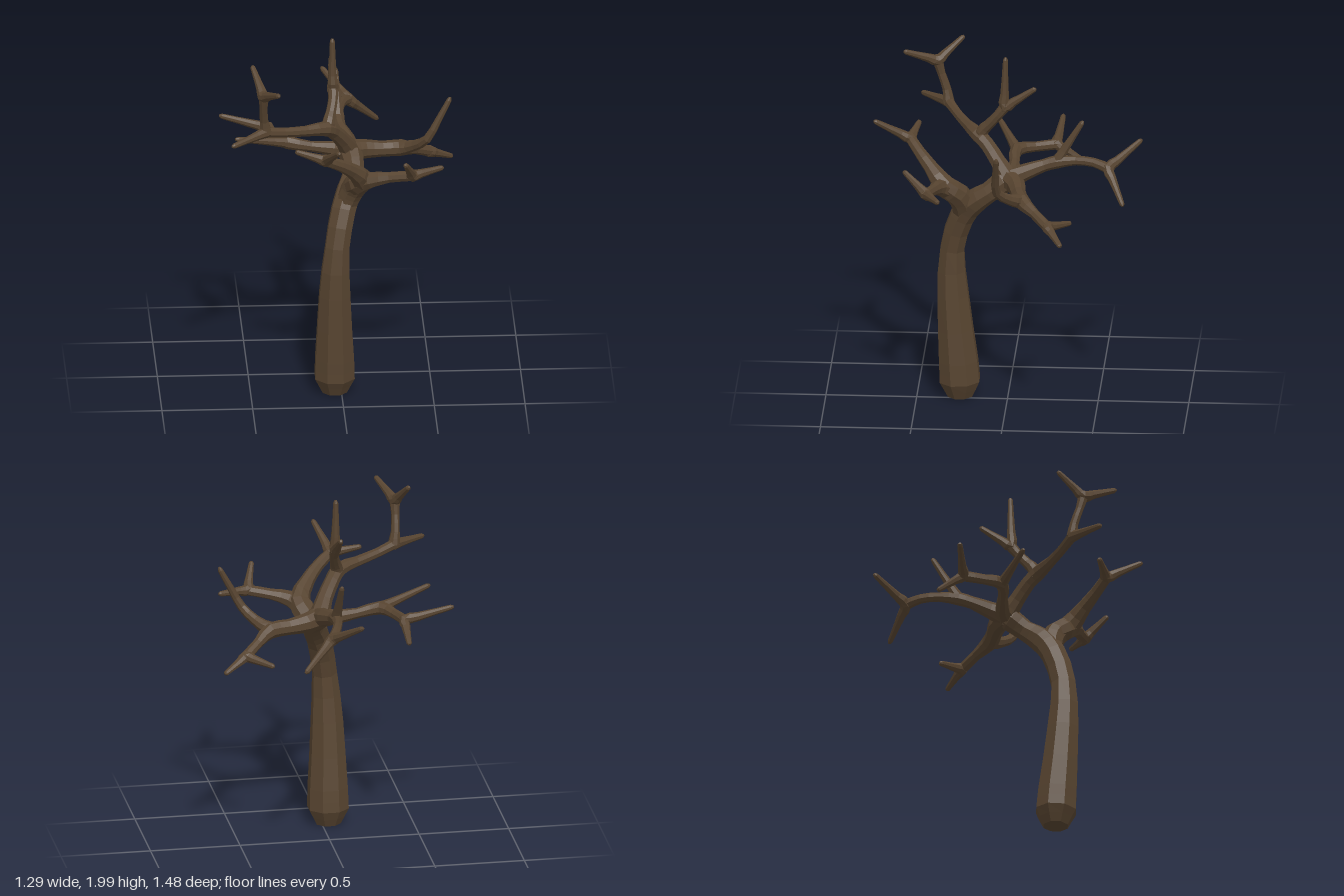
import * as THREE from 'three';

const bark = new THREE.MeshStandardMaterial({ color: 0x574430, flatShading: true });
bark.name = 'dark brown bark';

// Tapered, faceted limb through points [x, y, z, radius], capped at both ends
function limb(name, points, sides = 8, steps = 2) {
  const curve = new THREE.CatmullRomCurve3(points.map(p => new THREE.Vector3(p[0], p[1], p[2])));
  const spans = points.length - 1, rows = spans * steps;
  const pos = [], index = [];
  const normal = new THREE.Vector3(0, 0, 1), binormal = new THREE.Vector3();
  if (Math.abs(curve.getTangent(0).z) > 0.8) normal.set(0, 1, 0);

  for (let i = 0; i <= rows; i++) {
    const t = i / rows, tangent = curve.getTangent(t), center = curve.getPoint(t);
    normal.addScaledVector(tangent, -normal.dot(tangent)).normalize();
    binormal.crossVectors(tangent, normal);
    const k = Math.min(Math.floor(t * spans), spans - 1);
    const radius = THREE.MathUtils.lerp(points[k][3], points[k + 1][3], t * spans - k);
    for (let j = 0; j < sides; j++) {
      const a = (j + 0.5) / sides * Math.PI * 2;
      const p = center.clone()
        .addScaledVector(normal, Math.cos(a) * radius)
        .addScaledVector(binormal, Math.sin(a) * radius);
      pos.push(p.x, p.y, p.z);
    }
  }

  for (let i = 0; i < rows; i++) {
    for (let j = 0; j < sides; j++) {
      const a = i * sides + j, b = i * sides + (j + 1) % sides;
      index.push(a, b, a + sides, b, b + sides, a + sides);
    }
  }
  const last = rows * sides;
  for (let j = 1; j < sides - 1; j++) {
    index.push(0, j + 1, j, last, last + j, last + j + 1);
  }

  let geometry = new THREE.BufferGeometry();
  geometry.setAttribute('position', new THREE.Float32BufferAttribute(pos, 3));
  geometry.setIndex(index);
  geometry = geometry.toNonIndexed();
  geometry.computeVertexNormals();
  const mesh = new THREE.Mesh(geometry, bark);
  mesh.name = name;
  return mesh;
}

// Points of a straight twig, from just outside the fork to its rounded tip
function twigPoints(from, to) {
  const at = (f, r) => [0, 1, 2].map(i => from[i] + (to[i] - from[i]) * f).concat(r);
  return [at(0.28, 0.025), at(0.62, 0.019), at(0.96, 0.0145), at(1.015, 0.007)];
}

export function createModel() {
  const tree = new THREE.Group();
  tree.name = 'bareTree';

  // Forks where limbs divide
  const crown = [0.06, 1.325, -0.01];
  const front = [0.11, 1.295, 0.34];
  const frontLeft = [0.385, 1.345, 0.425];
  const frontRight = [-0.10, 1.49, 0.54];
  const left = [0.35, 1.30, -0.10];
  const leftLow = [0.51, 1.215, -0.25];
  const back = [0.01, 1.41, -0.27];
  const backEnd = [0.08, 1.405, -0.56];
  const right = [-0.28, 1.37, -0.035];
  const rightEnd = [-0.375, 1.37, -0.25];
  const upper = [-0.08, 1.53, 0.17];
  const upperRight = [-0.42, 1.59, 0.35];
  const upperTip = [-0.435, 1.825, 0.41];
  const topFork = [-0.035, 1.705, 0.02];

  // Trunk bending back into the crown
  tree.add(limb('trunk', [
    [-0.037, 0.01, 0.262, 0.072], [-0.037, 0.10, 0.264, 0.118], [-0.037, 0.22, 0.272, 0.114],
    [-0.038, 0.60, 0.302, 0.092], [-0.025, 0.88, 0.305, 0.071], [0.012, 1.08, 0.25, 0.071],
    [0.05, 1.18, 0.185, 0.071], [0.077, 1.25, 0.095, 0.058], [0.065, 1.31, 0.015, 0.066], [0.05, 1.345, -0.045, 0.04],
  ]));

  // Main boughs
  const boughs = {
    frontBough: [[0.012, 1.05, 0.252, 0.05], [0.045, 1.16, 0.24, 0.066], [0.08, 1.235, 0.27, 0.068], [...front, 0.062],
      [0.05, 1.38, 0.42, 0.041], [-0.02, 1.44, 0.485, 0.033], [...frontRight, 0.03]],
    frontLeftBough: [[0.05, 1.2, 0.235, 0.05], [0.09, 1.26, 0.31, 0.064], [0.155, 1.30, 0.365, 0.047],
      [0.26, 1.325, 0.392, 0.031], [...frontLeft, 0.03]],
    leftBough: [[...crown, 0.06], [0.14, 1.315, -0.055, 0.054], [0.24, 1.305, -0.075, 0.044], [...left, 0.046],
      [0.43, 1.26, -0.175, 0.029], [...leftLow, 0.03]],
    leftUpturnedBranch: [[0.28, 1.30, -0.085, 0.036], [0.35, 1.305, -0.085, 0.042], [0.42, 1.34, -0.03, 0.03],
      [0.485, 1.40, 0.03, 0.025], [0.55, 1.52, 0.033, 0.019], [0.605, 1.625, 0.025, 0.0145], [0.612, 1.643, 0.025, 0.007]],
    backBough: [[...crown, 0.06], [0.045, 1.36, -0.10, 0.047], [0.015, 1.39, -0.20, 0.035], [...back, 0.037],
      [0.02, 1.425, -0.38, 0.026], [0.045, 1.425, -0.48, 0.026], [...backEnd, 0.03]],
    rightBough: [[...crown, 0.06], [-0.02, 1.33, -0.03, 0.042], [-0.15, 1.345, -0.03, 0.029], [...right, 0.038],
      [-0.34, 1.365, -0.13, 0.028], [...rightEnd, 0.03]],
    upperBough: [[...crown, 0.06], [0.02, 1.41, 0.05, 0.046], [-0.035, 1.49, 0.115, 0.042], [...upper, 0.043],
      [-0.19, 1.545, 0.235, 0.03], [-0.32, 1.565, 0.30, 0.027], [...upperRight, 0.03]],
    topBough: [[-0.06, 1.50, 0.145, 0.036], [-0.065, 1.55, 0.145, 0.037], [-0.05, 1.60, 0.105, 0.029],
      [-0.035, 1.66, 0.055, 0.027], [...topFork, 0.03]],
    upperRightBranch: [[...upperRight, 0.034], [-0.43, 1.66, 0.36, 0.025], [-0.435, 1.75, 0.39, 0.023],
      [...upperTip, 0.03]],
  };
  for (const [name, points] of Object.entries(boughs)) tree.add(limb(name, points));

  // Forked twigs run from one tip through the fork to the other
  const forks = [
    ['frontRightTwigs', frontRight, [-0.262, 1.53, 0.50], [-0.035, 1.61, 0.735]],
    ['frontLeftTwigs', frontLeft, [0.555, 1.36, 0.35], [0.34, 1.46, 0.55]],
    ['leftLowTwigs', leftLow, [0.375, 1.19, -0.37], [0.64, 1.15, -0.33]],
    ['backTwigs', backEnd, [-0.058, 1.525, -0.735], [0.245, 1.25, -0.65]],
    ['rightTwigs', rightEnd, [-0.642, 1.44, -0.27], [-0.378, 1.28, -0.39]],
    ['upperTipTwigs', upperTip, [-0.49, 1.95, 0.27], [-0.36, 1.90, 0.59]],
    ['topTwigs', topFork, [-0.037, 1.995, 0.013], [-0.037, 1.82, -0.152]],
  ];
  for (const [name, fork, a, b] of forks) {
    tree.add(limb(name, [...twigPoints(fork, a).reverse(), [...fork, 0.035], ...twigPoints(fork, b)]));
  }

  // Single twigs growing from the side of a bough
  const singles = [
    ['backSpike', back, [0.003, 1.647, -0.415]],
    ['rightFrontTwig', right, [-0.57, 1.44, 0.08]],
    ['upperRightTwig', upperRight, [-0.61, 1.57, 0.505]],
  ];
  for (const [name, fork, tip] of singles) {
    tree.add(limb(name, [[...fork, 0.033], ...twigPoints(fork, tip)]));
  }
  return tree;
}
